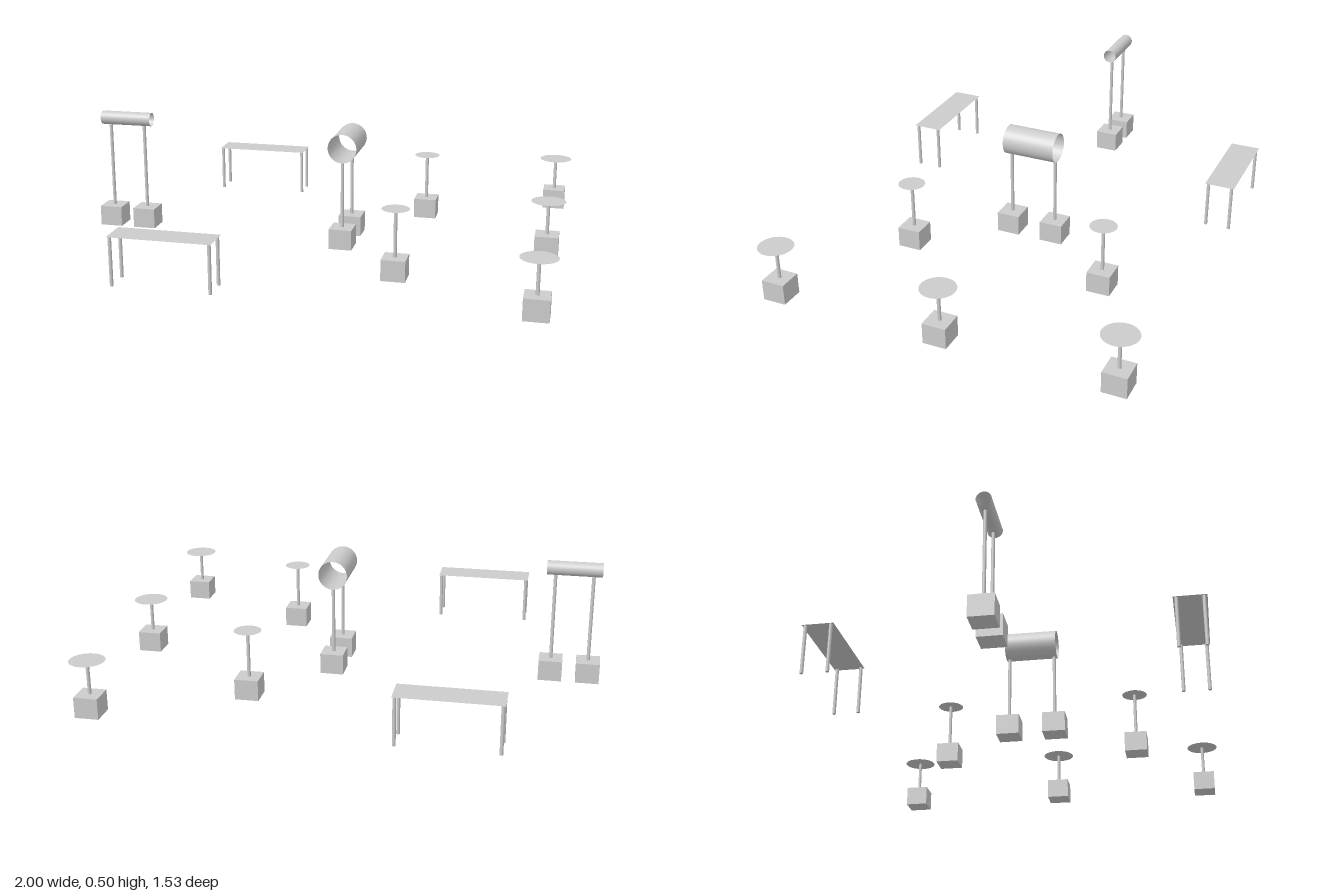
import * as THREE from 'three';

const material = new THREE.MeshStandardMaterial({ color: 0xcccccc, side: THREE.DoubleSide });
const BLOCK = 0.096, BLOCK_H = 0.085, POST_R = 0.007;

function add(parent, name, geometry, x, y, z) {
  const mesh = new THREE.Mesh(geometry, material);
  mesh.name = name;
  mesh.position.set(x, y, z);
  parent.add(mesh);
  return mesh;
}

function group(parent, name) {
  const g = new THREE.Group();
  g.name = name;
  parent.add(g);
  return g;
}

// Round upright between two heights
function post(parent, name, x, z, bottom, top) {
  const geometry = new THREE.CylinderGeometry(POST_R, POST_R, top - bottom, 12);
  add(parent, name, geometry, x, (bottom + top) / 2, z);
}

// Square foot block carrying a post
function footedPost(parent, x, z, top) {
  add(parent, 'footBlock', new THREE.BoxGeometry(BLOCK, BLOCK_H, BLOCK), x, BLOCK_H / 2, z);
  post(parent, 'post', x, z, BLOCK_H, top);
}

// Open, thin-walled pipe
function pipe(parent, radius, length, x, y, z, axis) {
  const geometry = new THREE.CylinderGeometry(radius, radius, length, 32, 1, true);
  if (axis === 'x') geometry.rotateZ(Math.PI / 2);
  else geometry.rotateX(Math.PI / 2);
  add(parent, 'openPipe', geometry, x, y, z);
}

// Thin round plate on a footed post
function discStand(parent, name, x, z, radius, height, sides) {
  const g = group(parent, name);
  footedPost(g, x, z, height);
  add(g, 'disc', new THREE.CircleGeometry(radius, sides).rotateX(-Math.PI / 2), x, height, z);
}

// Thin table top with four legs
function table(parent, z) {
  const g = group(parent, 'table');
  const cx = -0.46, height = 0.198;
  add(g, 'tableTop', new THREE.PlaneGeometry(0.412, 0.125).rotateX(-Math.PI / 2), cx, height, z);
  for (const sx of [-1, 1])
    for (const sz of [-1, 1])
      post(g, 'tableLeg', cx + sx * 0.196, z + sz * 0.05, 0, height);
}

export function createModel() {
  const model = new THREE.Group();
  model.name = 'obstacleSet';

  // Tall stand with a narrow pipe along x
  const narrow = group(model, 'narrowPipeStand');
  for (const s of [-1, 1]) footedPost(narrow, -0.876 + s * 0.076, 0, 0.446);
  pipe(narrow, 0.029, 0.222, -0.876, 0.475, 0, 'x');

  // Stand with a wide pipe along z
  const wide = group(model, 'widePipeStand');
  for (const s of [-1, 1]) footedPost(wide, 0.097, s * 0.097, 0.361);
  pipe(wide, 0.06, 0.22, 0.097, 0.42, 0, 'z');

  // Mirrored tables and disc stands
  for (const s of [-1, 1]) {
    table(model, s * 0.697);
    discStand(model, 'smallDiscStand', 0.374, s * 0.418, 0.055, 0.279, 16);
  }
  for (const s of [-1, 0, 1]) discStand(model, 'largeDiscStand', 0.93, s * 0.697, 0.07, 0.224, 32);

  return model;
}
